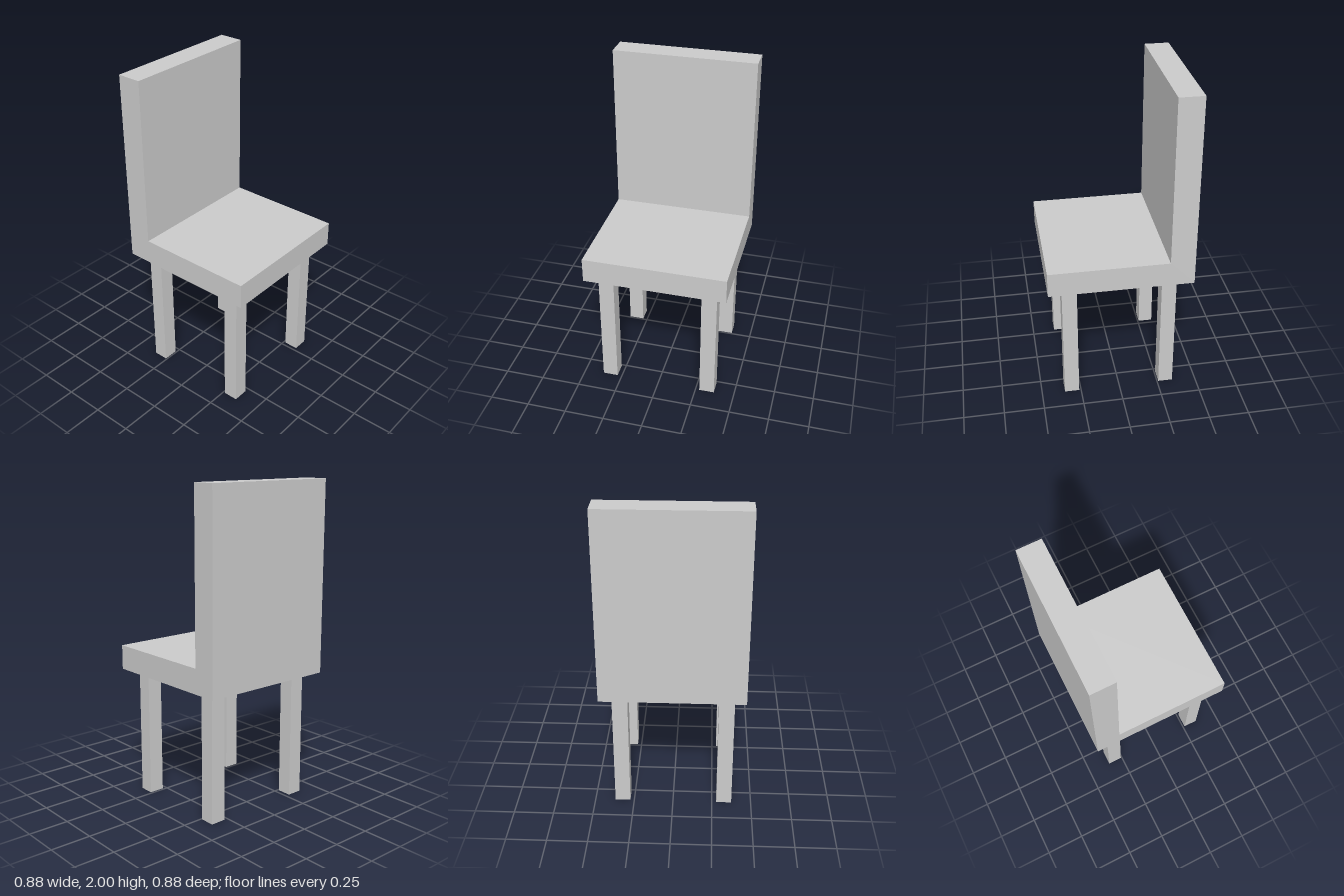
import * as THREE from 'three';

const WIDTH = 0.882;
const SEAT_BOTTOM = 0.807;
const SEAT_TOP = 0.961;

export function createModel() {
  const chair = new THREE.Group();
  chair.name = 'chair';
  const material = new THREE.MeshStandardMaterial({ color: 0xcccccc, flatShading: true });

  // Seat and backrest: one L-shaped side profile (z, y) extruded across the width
  const half = WIDTH / 2;
  const profile = new THREE.Shape([
    [-half, SEAT_BOTTOM], [half, SEAT_BOTTOM], [half, SEAT_TOP],
    [-0.29, SEAT_TOP], [-0.29, 2], [-half, 2],
  ].map(([z, y]) => new THREE.Vector2(z, y)));
  const body = new THREE.ExtrudeGeometry(profile, { depth: WIDTH, bevelEnabled: false });
  body.translate(0, 0, -half).rotateY(-Math.PI / 2);
  const seatAndBack = new THREE.Mesh(body, material);
  seatAndBack.name = 'seatAndBackrest';
  chair.add(seatAndBack);

  // Four straight square legs
  const legGeometry = new THREE.BoxGeometry(0.096, SEAT_BOTTOM, 0.092);
  for (const [side, x] of [['Left', 0.323], ['Right', -0.327]]) {
    for (const [end, z] of [['front', 0.308], ['back', -0.304]]) {
      const leg = new THREE.Mesh(legGeometry, material);
      leg.name = `${end}${side}Leg`;
      leg.position.set(x, SEAT_BOTTOM / 2, z);
      chair.add(leg);
    }
  }

  return chair;
}
